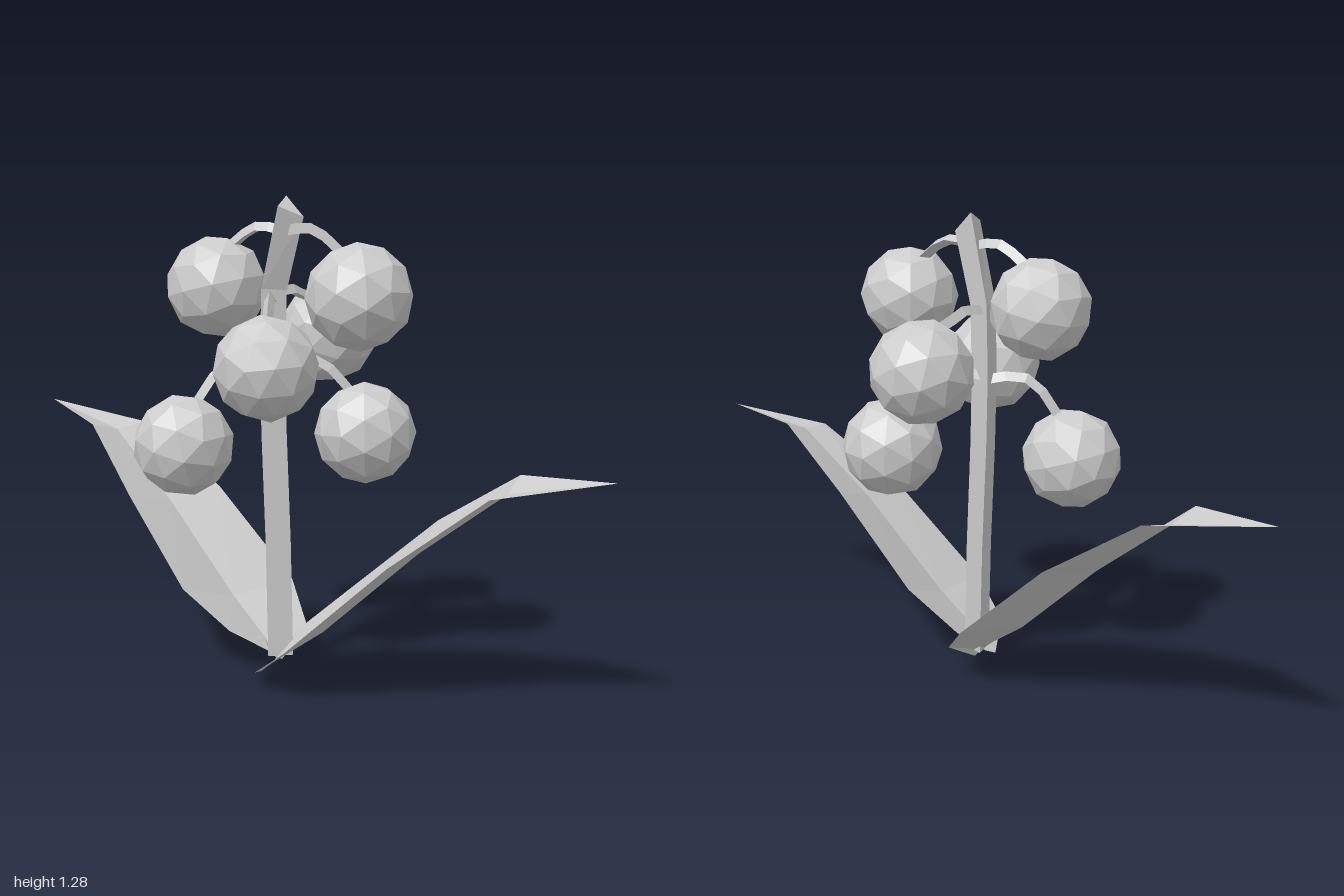
import * as THREE from 'three';

const grey = new THREE.MeshStandardMaterial({ color: 0xcccccc, flatShading: true });
const thin = new THREE.MeshStandardMaterial({ color: 0xcccccc, flatShading: true, side: THREE.DoubleSide });

// Joins rows of points into a faceted surface, skipping collapsed triangles.
function loft(rows) {
  const pos = [];
  const tri = (a, b, c) => {
    if (a.distanceTo(b) < 1e-5 || b.distanceTo(c) < 1e-5 || c.distanceTo(a) < 1e-5) return;
    for (const p of [a, b, c]) pos.push(p.x, p.y, p.z);
  };
  for (let i = 0; i < rows.length - 1; i++) {
    for (let j = 0; j < rows[i].length - 1; j++) {
      const a = rows[i][j], b = rows[i][j + 1], c = rows[i + 1][j + 1], d = rows[i + 1][j];
      tri(a, b, c);
      tri(a, c, d);
    }
  }
  const g = new THREE.BufferGeometry();
  g.setAttribute('position', new THREE.Float32BufferAttribute(pos, 3));
  g.computeVertexNormals();
  return g;
}

function add(parent, name, geometry, material = grey) {
  const mesh = new THREE.Mesh(geometry, material);
  mesh.name = name;
  parent.add(mesh);
  return mesh;
}

// Leaf from edge pairs [first edge, second edge, keel drop], closing at a tip.
function leafGeometry(pairs, tip, outward) {
  const rows = pairs.map(([a, b, drop]) => {
    const p = new THREE.Vector3(...a), q = new THREE.Vector3(...b);
    const keel = p.clone().add(q).multiplyScalar(0.5);
    keel.y -= drop;
    keel.z += outward * drop * 0.6;
    return [p, keel, q];
  });
  const t = new THREE.Vector3(...tip);
  rows.push([t, t, t]);
  return loft(rows);
}

export function createModel() {
  const plant = new THREE.Group();
  plant.name = 'berryPlant';

  // Three-sided stem: [y, z, tilt of the ring towards the front]
  const rings = [[0.04, 0.045, 0], [0.35, 0.035, 0], [0.65, 0.018, 0], [0.85, 0.012, 0], [1.04, 0.018, 0.15], [1.257, 0.085, 0.8]];
  const stemX = -0.05;
  const rows = rings.map(([y, z, tilt]) => [0, 1, 2, 3].map((k) => {
    const t = Math.PI / 3 + (k * Math.PI * 2) / 3;
    const dz = -0.04 * Math.sin(t);
    return new THREE.Vector3(stemX + 0.04 * Math.cos(t), y - tilt * dz, z + dz);
  }));
  const cap = ([y, z]) => Array(4).fill(new THREE.Vector3(stemX, y, z));
  add(plant, 'stem', loft([cap(rings[0]), ...rows, cap(rings[rings.length - 1])]));

  // Berries with their arching stalks: [x, y, z, stalk start y, stalk start z]
  const berries = [
    [-0.03, 1.03, 0.33, 1.19, 0.06],
    [-0.11, 1.04, -0.145, 1.19, 0.06],
    [0.22, 0.9, -0.06, 1.02, 0.015],
    [-0.19, 0.845, 0.155, 1.01, 0.015],
    [-0.225, 0.615, -0.15, 0.83, 0.012],
    [0.155, 0.647, 0.165, 0.84, 0.012],
  ];
  const berryGeometry = new THREE.IcosahedronGeometry(0.139, 1);
  berries.forEach(([x, y, z, sy, sz], i) => {
    const cluster = new THREE.Group();
    cluster.name = 'berryCluster' + (i + 1);
    const berry = add(cluster, 'berry', berryGeometry);
    berry.position.set(x, y, z);
    berry.rotation.set(0.4 + i * 0.7, i * 1.1, 0.3);

    const along = (f, h) => new THREE.Vector3(stemX + (x - stemX) * f, h, sz + (z - sz) * f);
    const path = new THREE.CatmullRomCurve3([
      along(0, sy), along(0.35, sy + 0.012), along(0.55, sy - 0.005), along(0.9, y + 0.09),
    ]);
    add(cluster, 'stalk', new THREE.TubeGeometry(path, 5, 0.016, 3));
    plant.add(cluster);
  });

  // Front leaf, right edge to left edge
  add(plant, 'frontLeaf', leafGeometry([
    [[-0.05, 0.045, 0.05], [-0.12, 0.005, 0.05], 0.005],
    [[0.02, 0.1, 0.05], [-0.235, 0.05, 0.16], 0.02],
    [[0.11, 0.22, 0.16], [-0.265, 0.14, 0.31], 0.03],
    [[0.145, 0.45, 0.45], [-0.16, 0.39, 0.57], 0.025],
    [[0.15, 0.605, 0.72], [-0.02, 0.57, 0.77], 0.015],
  ], [0.165, 0.62, 1], 1), thin);

  // Back leaf
  add(plant, 'backLeaf', leafGeometry([
    [[-0.09, 0.055, 0.05], [-0.035, 0.02, 0.04], 0.005],
    [[-0.19, 0.12, 0], [0.09, 0.09, 0], 0.03],
    [[-0.247, 0.22, -0.13], [0.15, 0.187, -0.13], 0.04],
    [[-0.225, 0.44, -0.41], [0.107, 0.425, -0.41], 0.035],
    [[-0.17, 0.61, -0.67], [0.03, 0.6, -0.68], 0.02],
  ], [-0.095, 0.65, -1], -1), thin);

  return plant;
}
